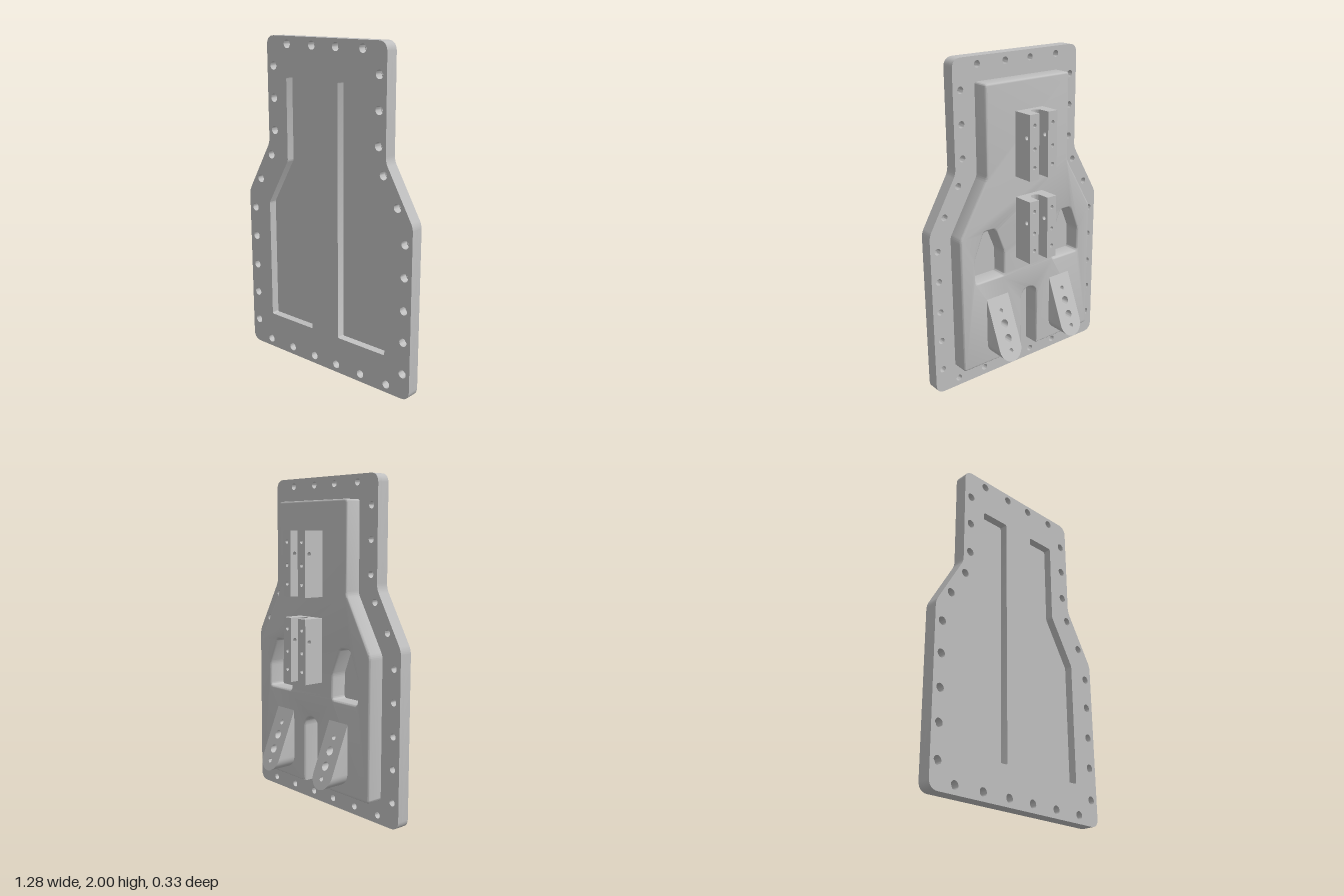
import * as THREE from 'three';
import { toCreasedNormals } from 'three/addons/utils/BufferGeometryUtils.js';

const BOLTS = [
  [0.59, 0.155], [0.59, 0.35], [0.59, 0.54], [0.59, 0.735], [0.59, 0.925],
  [0.535, 1.12], [0.435, 1.285], [0.4, 1.44], [0.4, 1.635], [0.4, 1.825],
  [0.285, 1.955], [0.09, 1.955], [0.475, 0.05], [0.28, 0.05], [0.09, 0.05],
];

// Closed outline with rounded corners; each point is [x, y, radius]
function rounded(points, Type = THREE.Shape) {
  const path = new Type();
  const n = points.length;
  points.forEach(([x, y, r = 0.001], i) => {
    const p = new THREE.Vector2(x, y);
    const toward = ([a, b]) => new THREE.Vector2(a, b).sub(p).setLength(r).add(p);
    const a = toward(points[(i + n - 1) % n]);
    const b = toward(points[(i + 1) % n]);
    if (i === 0) path.moveTo(a.x, a.y);
    else path.lineTo(a.x, a.y);
    path.quadraticCurveTo(x, y, b.x, b.y);
  });
  path.closePath();
  return path;
}

const mirrored = (points) => points.map(([x, y, r]) => [-x, y, r]).reverse();
const symmetric = (half) => [...half, ...mirrored(half)];
const circle = (x, y, r) => new THREE.Path().absarc(x, y, r, 0, Math.PI * 2, true);

function rectangle(x0, y0, x1, y1) {
  return new THREE.Shape([[x0, y0], [x1, y0], [x1, y1], [x0, y1]].map(p => new THREE.Vector2(...p)));
}

function extrude(shape, depth, options = {}) {
  return new THREE.ExtrudeGeometry(shape, { depth, bevelEnabled: false, curveSegments: 12, ...options });
}

export function createModel() {
  const model = new THREE.Group();
  model.name = 'mountingPlate';
  const metal = new THREE.MeshStandardMaterial({ color: 0xbfbfbf });
  metal.name = 'greyMetal';

  function add(name, geometry, parent = model) {
    const mesh = new THREE.Mesh(toCreasedNormals(geometry, 0.6), metal);
    mesh.name = name;
    parent.add(mesh);
    return mesh;
  }

  // Flange in two layers: pockets stop at the rear layer, bolt holes go through
  const flangeHalf = [[0.64, 0, 0.06], [0.64, 1.03, 0.03], [0.45, 1.36, 0.03], [0.45, 2, 0.06]];
  const pocket = [[0.105, 0.23, 0.01], [0.46, 0.23, 0.01], [0.46, 0.98, 0.01],
    [0.295, 1.265, 0.01], [0.295, 1.765, 0.015], [0.105, 1.765, 0.015]];
  function flange(boltRadius) {
    const shape = rounded(symmetric(flangeHalf));
    for (const [x, y] of BOLTS) {
      shape.holes.push(circle(x, y, boltRadius), circle(-x, y, boltRadius));
    }
    return shape;
  }
  const front = flange(0.025);
  front.holes.push(rounded(pocket, THREE.Path), rounded(mirrored(pocket), THREE.Path));
  add('flangeFront', extrude(front, 0.05).translate(0, 0, 0.12));
  add('flangeRear', extrude(flange(0.02), 0.03).translate(0, 0, 0.09));

  // Raised body on the back, with an arched notch and two recesses
  const bodyHalf = [[0.5, 0.145, 0.02], [0.5, 0.99, 0.02], [0.305, 1.325, 0.02], [0.305, 1.86, 0.02]];
  const notch = [[-0.06, 0.145]];
  for (let i = 0; i <= 12; i++) {
    const a = Math.PI * (1 - i / 12);
    notch.push([0.06 * Math.cos(a), 0.5 + 0.06 * Math.sin(a)]);
  }
  notch.push([0.06, 0.145]);
  const body = rounded([...symmetric(bodyHalf), ...notch]);
  const recess = [[0.19, 0.7, 0.02], [0.4, 0.7, 0.02], [0.4, 0.85, 0.02],
    [0.335, 1.01, 0.02], [0.255, 1.01, 0.02], [0.19, 0.85, 0.02]];
  body.holes.push(rounded(recess, THREE.Path), rounded(mirrored(recess), THREE.Path));
  add('raisedBody', extrude(body, 0.088, {
    bevelEnabled: true, bevelSize: 0.012, bevelThickness: 0.012, bevelOffset: -0.012, bevelSegments: 3,
  }).translate(0, 0, 0.002));

  // U-shaped brackets: curved base plus two drilled prongs
  const height = 0.385;
  function bracket(name, y) {
    const group = new THREE.Group();
    group.name = name;
    group.position.y = y;
    model.add(group);

    const base = new THREE.Shape();
    base.moveTo(-0.1, 0);
    base.lineTo(0.1, 0);
    base.lineTo(0.1, 0.078);
    base.lineTo(0.033, 0.078);
    base.absarc(0, 0.078, 0.033, 0, Math.PI, true);
    base.lineTo(-0.1, 0.078);
    base.closePath();
    add('bracketBase', extrude(base, height).rotateX(-Math.PI / 2), group);

    for (const x of [-0.1, 0.033]) {
      const lower = rectangle(0, 0, 0.067, 0.22);
      lower.holes.push(circle(0.033, 0.075, 0.012), circle(0.033, 0.185, 0.012));
      add('prongLower', extrude(lower, 0.062).translate(x, 0, -0.14), group);

      const upper = rectangle(0, 0.28, 0.067, height);
      upper.holes.push(circle(0.033, 0.32, 0.012));
      add('prongUpper', extrude(upper, 0.062).translate(x, 0, -0.14), group);

      const cross = rectangle(0.078, 0.22, 0.14, 0.28);
      cross.holes.push(circle(0.11, 0.25, 0.013));
      add('prongCrossDrilled', extrude(cross, 0.067).rotateY(Math.PI / 2).translate(x, 0, 0), group);
    }
  }
  bracket('upperBracket', 1.3);
  bracket('lowerBracket', 0.79);

  // Sloped lugs: round-ended blocks whose outer face leans out towards the bottom
  function lug(name, x) {
    const shape = new THREE.Shape();
    shape.moveTo(0.08, 0.575);
    shape.lineTo(-0.08, 0.575);
    shape.lineTo(-0.08, 0.28);
    shape.absarc(0, 0.28, 0.08, Math.PI, Math.PI * 2, false);
    shape.closePath();
    for (const [y, r] of [[0.26, 0.014], [0.33, 0.025], [0.415, 0.025], [0.49, 0.014]]) {
      shape.holes.push(circle(0, y, r));
    }
    const geometry = extrude(shape, 1);
    const p = geometry.attributes.position;
    for (let i = 0; i < p.count; i++) {
      p.setZ(i, p.getZ(i) > 0.5 ? 0 : -0.165 + (p.getY(i) - 0.2) * 0.413);
    }
    add(name, geometry.translate(x, 0, 0));
  }
  lug('leftLug', 0.245);
  lug('rightLug', -0.245);

  return model;
}
